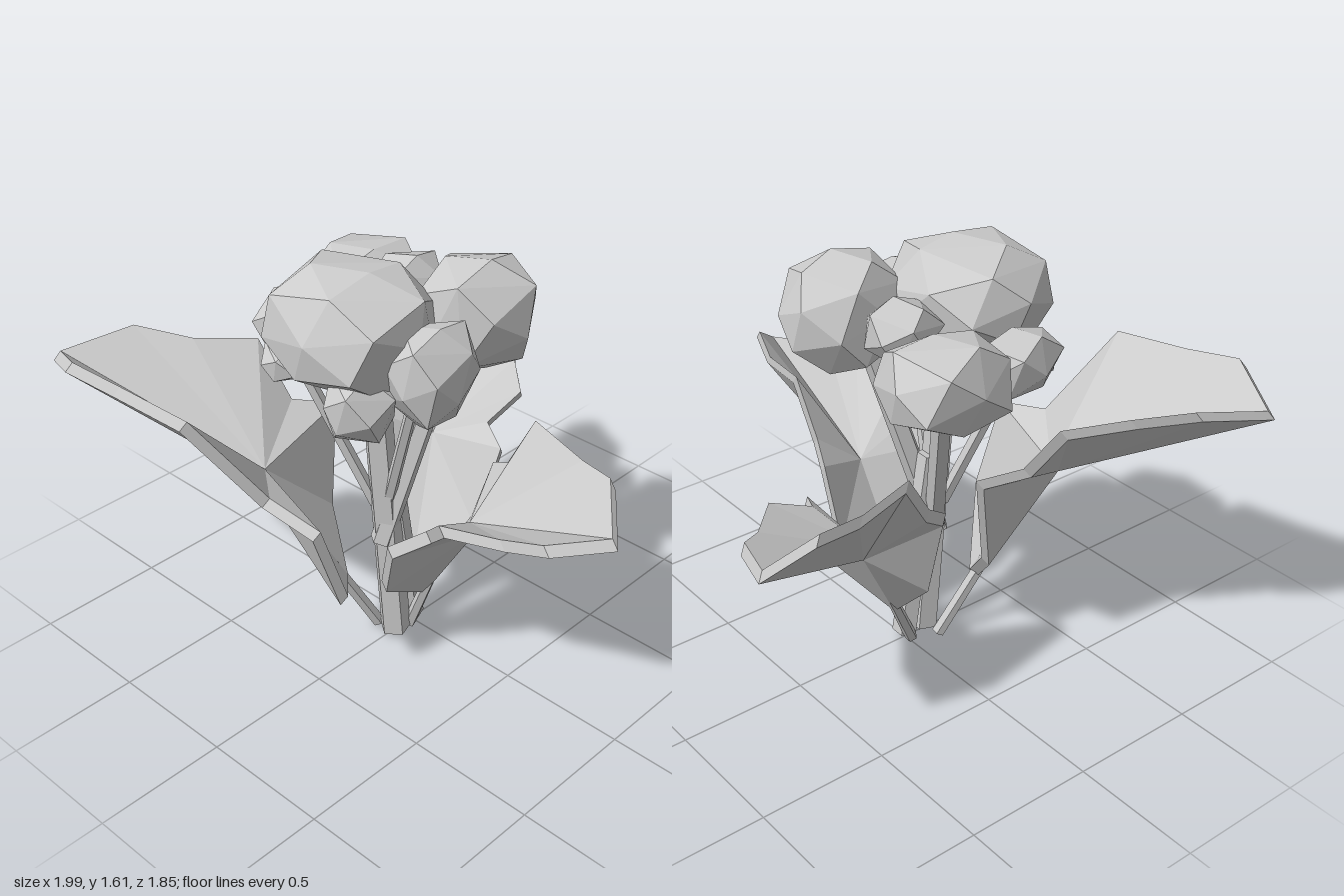
import * as THREE from 'three';
import { ConvexGeometry } from 'three/addons/geometries/ConvexGeometry.js';

const material = new THREE.MeshStandardMaterial({ color: 0xcccccc, flatShading: true });
const vec = (p) => new THREE.Vector3(...p);

// Seeded random numbers, 0 to 1
function seeded(seed) {
  return () => {
    seed = (seed * 16807) % 2147483647;
    return seed / 2147483647;
  };
}

function addMesh(parent, name, geometry) {
  const mesh = new THREE.Mesh(geometry, material);
  mesh.name = name;
  parent.add(mesh);
  return mesh;
}

// Straight faceted stem between two points
function addStem(parent, name, from, to, radius) {
  const a = vec(from), b = vec(to);
  const direction = b.clone().sub(a);
  const geometry = new THREE.CylinderGeometry(radius * 0.9, radius, direction.length(), 5);
  const mesh = addMesh(parent, name, geometry);
  mesh.position.copy(a).add(b).multiplyScalar(0.5);
  mesh.quaternion.setFromUnitVectors(new THREE.Vector3(0, 1, 0), direction.normalize());
}

// Chunky faceted blossom: hull of irregular points on a slightly boxy ellipsoid
function addBlossom(parent, name, center, radii, count, seed) {
  const random = seeded(seed);
  const points = [];
  for (let i = 0; i < count; i++) {
    const y = 1 - (2 * i + 1) / count;
    const ring = Math.sqrt(1 - y * y);
    const angle = i * 2.39996 + random() * 0.35;
    const p = vec([Math.cos(angle) * ring, y, Math.sin(angle) * ring]);
    const norm = Math.cbrt(Math.abs(p.x) ** 3 + Math.abs(p.y) ** 3 + Math.abs(p.z) ** 3);
    points.push(p.multiplyScalar((1 + random() * 0.1) / norm).multiply(vec(radii)));
  }
  addMesh(parent, name, new ConvexGeometry(points)).position.set(...center);
}

// Folded leaf: both sides run from the base corner to the tip,
// faces fan out from the bend in the midrib, and the slab has a thin rim.
function leafGeometry({ base, bend, tip, left, right }) {
  const rim = [base, ...left, tip, ...[...right].reverse()].map(vec);
  const middle = vec(bend);
  const half = new THREE.Vector3(-middle.x, 0, -middle.z).setLength(0.014);
  half.y = 0.018;
  const outer = (p) => p.clone().sub(half);
  const inner = (p) => p.clone().add(half);
  const corners = [];
  rim.forEach((a, i) => {
    const b = rim[(i + 1) % rim.length];
    corners.push(outer(middle), outer(b), outer(a));
    corners.push(inner(middle), inner(a), inner(b));
    corners.push(outer(a), outer(b), inner(b), outer(a), inner(b), inner(a));
  });
  const geometry = new THREE.BufferGeometry().setFromPoints(corners);
  geometry.computeVertexNormals();
  return geometry;
}

export function createModel() {
  const plant = new THREE.Group();
  plant.name = 'floweringPlant';

  // Each side: two lower corners, notch, three wing corners
  const leaves = {
    frontLeaf: {
      base: [-0.12, 0.26, 0.24], bend: [-0.32, 0.75, 0.45], tip: [-0.985, 1.13, 0.81],
      left: [[-0.3, 0.45, 0.14], [-0.36, 0.84, 0.05], [-0.45, 0.88, 0.19],
        [-0.6, 1.09, 0.21], [-0.73, 1.12, 0.41], [-0.89, 1.17, 0.55]],
      right: [[0.14, 0.44, 0.49], [0.13, 0.77, 0.6], [-0.09, 0.82, 0.63],
        [-0.25, 1.15, 0.83], [-0.55, 1.18, 0.87], [-0.76, 1.21, 0.91]],
    },
    sideLeaf: {
      base: [0.1, 0.23, 0.04], bend: [0.34, 0.62, 0.04], tip: [0.985, 0.89, 0.08],
      left: [[0.13, 0.38, 0.28], [0.24, 0.63, 0.36], [0.35, 0.71, 0.28],
        [0.49, 0.85, 0.37], [0.67, 0.83, 0.27], [0.83, 0.87, 0.24]],
      right: [[0.14, 0.43, -0.2], [0.24, 0.72, -0.2], [0.34, 0.78, -0.16],
        [0.45, 1.0, -0.17], [0.7, 0.97, -0.12], [0.86, 1.0, -0.06]],
    },
    backLeaf: {
      base: [-0.07, 0.23, -0.1], bend: [-0.19, 0.62, -0.33], tip: [-0.43, 0.9, -0.915],
      left: [[0.13, 0.38, -0.22], [0.14, 0.68, -0.35], [0.02, 0.72, -0.41],
        [0.04, 0.79, -0.58], [-0.12, 0.81, -0.73], [-0.21, 0.86, -0.84]],
      right: [[-0.27, 0.43, -0.1], [-0.36, 0.76, -0.11], [-0.39, 0.83, -0.21],
        [-0.43, 1.01, -0.33], [-0.47, 0.98, -0.55], [-0.5, 1.0, -0.74]],
    },
  };
  const feet = [[-0.07, 0.01, 0.11], [0.03, 0.02, 0.04], [-0.04, 0.02, 0]];
  Object.entries(leaves).forEach(([name, leaf], i) => {
    addMesh(plant, name, leafGeometry(leaf));
    const top = leaf.base.map((v, axis) => v + (leaf.bend[axis] - v) * 0.15);
    addStem(plant, name + 'Stalk', feet[i], top, 0.025);
  });

  // Stems that carry the blossoms
  addStem(plant, 'mainStem', [0.01, 0.02, 0.1], [-0.04, 1.3, 0.16], 0.06);
  addStem(plant, 'rearStem', [0.0, 0.03, 0.0], [-0.02, 0.8, 0.1], 0.05);
  addStem(plant, 'rightStem', [-0.01, 0.45, 0.15], [0.14, 1.3, -0.08], 0.045);
  addStem(plant, 'leftStem', [-0.03, 0.5, 0.12], [-0.28, 1.25, -0.05], 0.04);
  addStem(plant, 'smallStem', [0.0, 0.6, 0.13], [0.2, 1.2, 0.18], 0.025);
  addStem(plant, 'budStem', [-0.05, 0.6, 0.14], [-0.24, 1.2, 0.32], 0.025);

  // Blossom cluster
  const blossoms = [
    ['mainBlossom', [-0.03, 1.395, 0.25], [0.28, 0.21, 0.25], 26],
    ['backRightBlossom', [0.18, 1.37, -0.14], [0.185, 0.2, 0.21], 22],
    ['backLeftBlossom', [-0.36, 1.3, -0.12], [0.185, 0.15, 0.22], 20],
    ['leftBlossom', [-0.37, 1.28, 0.2], [0.1, 0.11, 0.16], 16],
    ['sideBlossom', [0.25, 1.28, 0.17], [0.13, 0.175, 0.165], 20],
    ['frontBlossom', [0.11, 1.18, 0.38], [0.12, 0.125, 0.11], 16],
    ['frontBud', [-0.26, 1.21, 0.36], [0.09, 0.065, 0.09], 14],
    ['backBud', [-0.12, 1.4, -0.11], [0.11, 0.1, 0.13], 14],
  ];
  blossoms.forEach(([name, center, radii, count], i) => {
    addBlossom(plant, name, center, radii, count, 101 + i * 977);
  });

  return plant;
}
